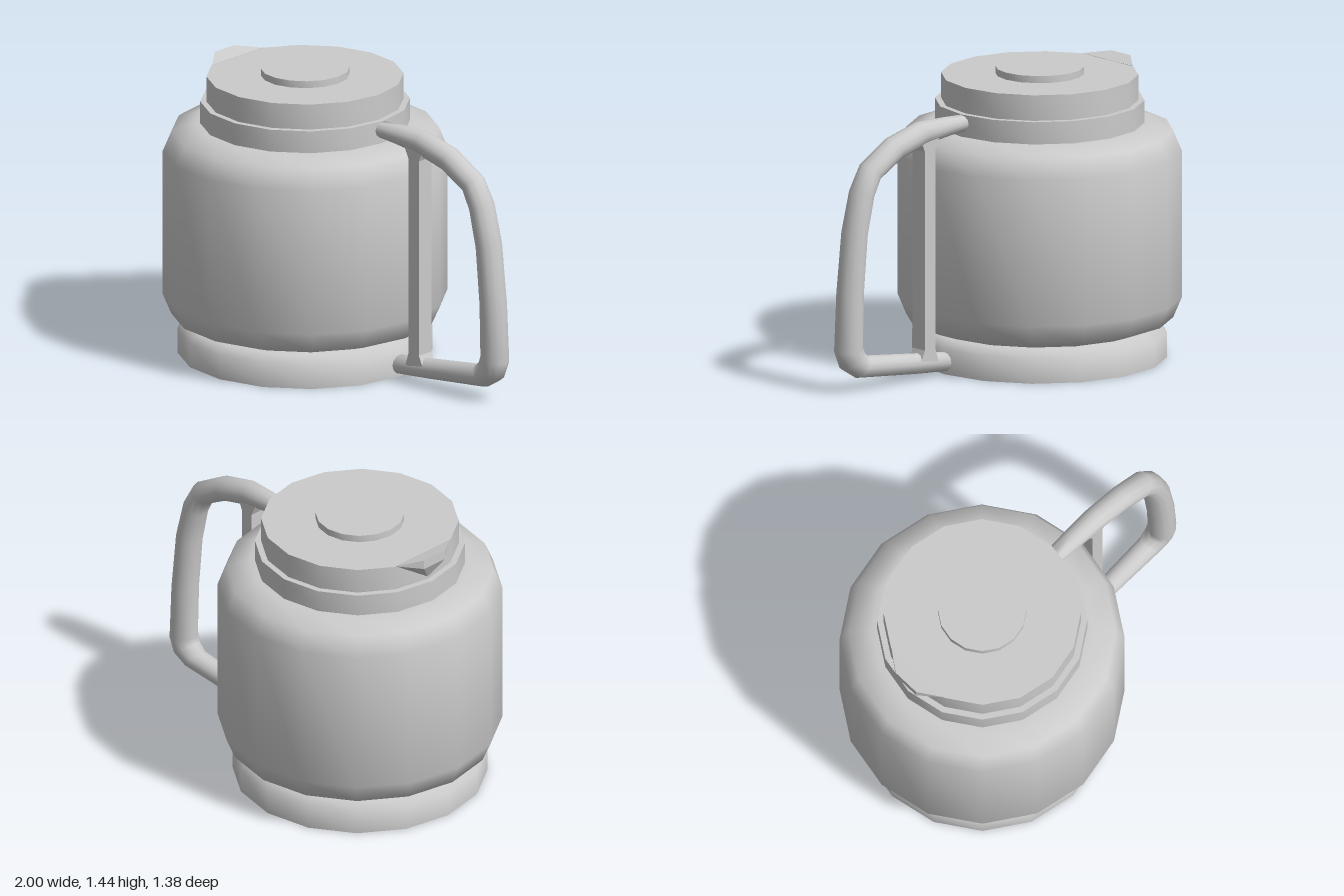
import * as THREE from 'three';
import { toCreasedNormals } from 'three/addons/utils/BufferGeometryUtils.js';
import { ConvexGeometry } from 'three/addons/geometries/ConvexGeometry.js';

const SIDES = 16;
const AXIS_X = -0.31; // vertical axis of the pot

const material = new THREE.MeshStandardMaterial({ color: 0xcccccc });

function part(name, geometry) {
  const mesh = new THREE.Mesh(geometry, material);
  mesh.name = name;
  return mesh;
}

// Solid of revolution from [radius, y] pairs, bottom to top
function turned(name, profile) {
  const points = profile.map(([r, y]) => new THREE.Vector2(r, y));
  const mesh = part(name, toCreasedNormals(new THREE.LatheGeometry(points, SIDES), 1.2));
  mesh.position.x = AXIS_X;
  return mesh;
}

// Bent bar: each station is [outer x, outer y, inner x, inner y, half width in z]
function handleGeometry(stations, sides = 12) {
  const positions = [];
  const index = [];
  for (const [ox, oy, ix, iy, w] of stations) {
    for (let j = 0; j < sides; j++) {
      const a = (j / sides) * Math.PI * 2;
      const c = Math.cos(a) / 2;
      positions.push((ox + ix) / 2 + (ox - ix) * c, (oy + iy) / 2 + (oy - iy) * c, Math.sin(a) * w);
    }
  }
  for (let i = 0; i < stations.length - 1; i++) {
    for (let j = 0; j < sides; j++) {
      const a = i * sides + j;
      const b = i * sides + ((j + 1) % sides);
      index.push(a, b, a + sides, b, b + sides, a + sides);
    }
  }
  // End caps
  const last = (stations.length - 1) * sides;
  for (let j = 1; j < sides - 1; j++) {
    index.push(0, j + 1, j, last, last + j, last + j + 1);
  }
  const geometry = new THREE.BufferGeometry();
  geometry.setAttribute('position', new THREE.Float32BufferAttribute(positions, 3));
  geometry.setIndex(index);
  geometry.computeVertexNormals();
  return geometry;
}

export function createModel() {
  const group = new THREE.Group();

  // Pot
  group.add(turned('base', [[0, 0], [0.62, 0], [0.62, 0.125], [0.57, 0.16], [0.5, 0.165]]));
  group.add(turned('body', [
    [0.5, 0.16], [0.54, 0.162], [0.65, 0.2], [0.692, 0.3],
    [0.692, 1.03], [0.65, 1.13], [0.54, 1.167], [0.48, 1.167],
  ]));

  // Collar, lid and knob
  group.add(turned('collar', [[0.46, 1.165], [0.51, 1.165], [0.51, 1.278], [0, 1.278]]));
  group.add(turned('lid', [[0.46, 1.275], [0.48, 1.275], [0.48, 1.405], [0, 1.405]]));
  group.add(turned('knob', [[0.215, 1.4], [0.215, 1.44], [0, 1.44]]));

  // Pouring lip on the side opposite the handle
  const lip = [[-0.785, 1.285, 0]];
  for (const s of [-1, 1]) {
    lip.push([-0.835, 1.428, s * 0.07], [-0.835, 1.38, s * 0.07], [-0.75, 1.406, s * 0.185]);
  }
  const lipGeometry = new ConvexGeometry(lip.map((p) => new THREE.Vector3(...p)));
  group.add(part('spout', toCreasedNormals(lipGeometry, 0.4)));

  // Handle from the collar round to the base
  group.add(part('handle', handleGeometry([
    [0.17, 1.275, 0.17, 1.195, 0.045],
    [0.3, 1.28, 0.29, 1.185, 0.053],
    [0.47, 1.283, 0.44, 1.165, 0.06],
    [0.66, 1.23, 0.605, 1.12, 0.063],
    [0.83, 1.125, 0.745, 1.04, 0.066],
    [0.9, 1.0, 0.785, 0.96, 0.069],
    [0.952, 0.8, 0.825, 0.78, 0.07],
    [0.985, 0.5, 0.85, 0.49, 0.07],
    [1.0, 0.21, 0.855, 0.23, 0.07],
    [0.965, 0.12, 0.845, 0.2, 0.068],
    [0.88, 0.068, 0.81, 0.17, 0.06],
    [0.5, 0.03, 0.49, 0.132, 0.05],
    [0.29, 0.013, 0.28, 0.108, 0.045],
  ])));

  // Upright strut, flared where it meets the handle
  const strut = new THREE.Shape([
    [0.5, 0.085], [0.473, 0.15], [0.473, 1.14], [0.5, 1.205],
    [0.375, 1.205], [0.405, 1.14], [0.405, 0.15], [0.385, 0.085],
  ].map(([x, y]) => new THREE.Vector2(x, y)));
  const strutGeometry = new THREE.ExtrudeGeometry(strut, { depth: 0.09, bevelEnabled: false });
  strutGeometry.translate(0, 0, -0.045);
  group.add(part('strut', strutGeometry));

  return group;
}
